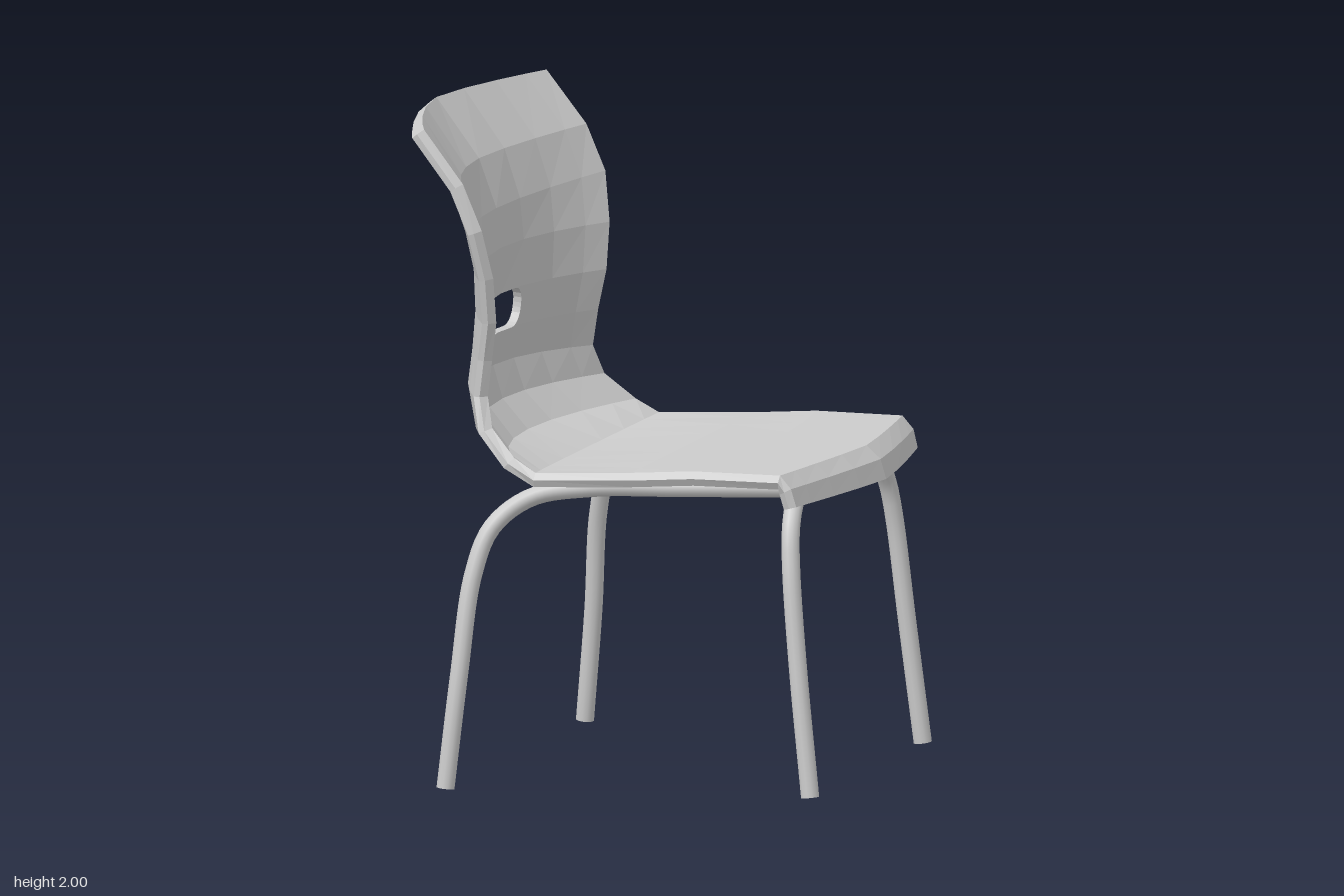
import * as THREE from 'three';

const grey = new THREE.MeshStandardMaterial({ color: 0xcccccc });
const shellGrey = new THREE.MeshStandardMaterial({ color: 0xcccccc, flatShading: true, side: THREE.DoubleSide });

// Shell sections from backrest top to front lip:
// centre x, y, side x, y, half width, curve exponent
const ROWS = [
  [-0.71, 2.0, -0.555, 2.0, 0.605, 1.5],
  [-0.575, 1.82, -0.43, 1.84, 0.61, 1.7],
  [-0.52, 1.67, -0.37, 1.7, 0.61, 2],
  [-0.505, 1.55, -0.345, 1.55, 0.575, 2],
  [-0.505, 1.41, -0.345, 1.41, 0.545, 2],
  [-0.515, 1.29, -0.365, 1.29, 0.525, 2],
  [-0.53, 1.19, -0.38, 1.18, 0.52, 2],
  [-0.5, 1.09, -0.355, 1.09, 0.555, 2],
  [-0.42, 1.0, -0.27, 1.01, 0.6, 2],
  [-0.25, 0.945, -0.2, 0.97, 0.61, 2],
  [0.1, 0.985, 0.1, 0.985, 0.61, 2],
  [0.35, 1.0, 0.3, 1.0, 0.61, 2],
  [0.655, 1.005, 0.575, 1.0, 0.605, 1.2],
  [0.7, 0.965, 0.61, 0.96, 0.605, 1.2],
  [0.718, 0.905, 0.625, 0.905, 0.6, 1.2],
];
const COLS = [-1, -0.84, -0.6, -0.31, 0, 0.31, 0.6, 0.84, 1];
const SLOT_ROW = 4, SLOT_U = 0.31, BEVEL = 0.012;

// Point of one section, straight between columns
function rowPoint(row, u) {
  const [xc, yc, xe, ye, w, e] = row;
  let j = 0;
  while (j < COLS.length - 2 && u > COLS[j + 1]) j++;
  const f = (u - COLS[j]) / (COLS[j + 1] - COLS[j]);
  const d = THREE.MathUtils.lerp(Math.abs(COLS[j]) ** e, Math.abs(COLS[j + 1]) ** e, f);
  return new THREE.Vector3(xc + (xe - xc) * d, yc + (ye - yc) * d, u * (w - BEVEL));
}

// Sitting side of the shell at (u across, v along)
function front(u, v) {
  const i = Math.min(Math.max(Math.floor(v), 0), ROWS.length - 2);
  return rowPoint(ROWS[i], u).lerp(rowPoint(ROWS[i + 1], u), v - i);
}

// Rear side, offset along the local normal, thicker at the sides
function back(u, v) {
  const last = ROWS.length - 1;
  const tu = front(Math.min(u + 0.1, 1), v).sub(front(Math.max(u - 0.1, -1), v));
  const tv = front(u, Math.min(v + 0.5, last)).sub(front(u, Math.max(v - 0.5, 0)));
  const n = tu.cross(tv).normalize();
  return front(u, v).addScaledVector(n, -(0.026 + 0.018 * u * u));
}

function shell() {
  const pos = [];
  const tri = (...pts) => pts.forEach(p => pos.push(p.x, p.y, p.z));
  const quad = (a, b, c, d) => { tri(a, b, c); tri(a, c, d); };
  const last = ROWS.length - 1;

  // Both faces, leaving out the hand slot
  for (let i = 0; i < last; i++) {
    for (let j = 0; j < COLS.length - 1; j++) {
      const a = COLS[j], b = COLS[j + 1];
      if (i === SLOT_ROW && a >= -SLOT_U && b <= SLOT_U) continue;
      quad(front(a, i), front(b, i), front(b, i + 1), front(a, i + 1));
      quad(back(a, i), back(a, i + 1), back(b, i + 1), back(b, i));
    }
    // Bevelled side rims
    for (const s of [-1, 1]) {
      const mid = v => {
        const m = front(s, v).lerp(back(s, v), 0.5);
        m.z += s * BEVEL;
        return m;
      };
      for (const face of [front, back]) {
        const p = [face(s, i), mid(i), mid(i + 1), face(s, i + 1)];
        if ((s > 0) !== (face === front)) p.reverse();
        quad(...p);
      }
    }
  }
  // Top and lip rims
  for (let j = 0; j < COLS.length - 1; j++) {
    const a = COLS[j], b = COLS[j + 1];
    quad(front(a, 0), back(a, 0), back(b, 0), front(b, 0));
    quad(front(a, last), front(b, last), back(b, last), back(a, last));
  }

  // Rounded slot: fill each corner, then line the opening
  const outline = [], ru = 0.1, rv = 0.44, steps = 5;
  const corners = [[1, 1, 0], [-1, 1, 1], [-1, 0, 2], [1, 0, 3]];
  for (const [su, ev, q] of corners) {
    const cu = su * (SLOT_U - ru), cv = SLOT_ROW + (ev ? 1 - rv : rv);
    const arc = [];
    for (let k = 0; k <= steps; k++) {
      const t = (q + k / steps) * Math.PI / 2;
      arc.push([cu + ru * Math.cos(t), cv + rv * Math.sin(t)]);
    }
    for (let k = 0; k < steps; k++) {
      const c = [su * SLOT_U, SLOT_ROW + ev];
      tri(front(...c), front(...arc[k + 1]), front(...arc[k]));
      tri(back(...c), back(...arc[k]), back(...arc[k + 1]));
    }
    outline.push(...arc);
    if (q === 1) outline.push([0 - SLOT_U, SLOT_ROW + 0.5]);
  }
  // Middle points keep the lining on the curved surface
  const ring = [];
  outline.forEach((p, k) => {
    const next = outline[(k + 1) % outline.length];
    ring.push(p);
    if (p[0] * next[0] < 0) ring.push([0, p[1]]);
  });
  ring.forEach((p, k) => {
    const n = ring[(k + 1) % ring.length];
    quad(front(...p), front(...n), back(...n), back(...p));
  });

  const geo = new THREE.BufferGeometry();
  geo.setAttribute('position', new THREE.Float32BufferAttribute(pos, 3));
  geo.computeVertexNormals();
  const mesh = new THREE.Mesh(geo, shellGrey);
  mesh.name = 'seatShell';
  return mesh;
}

// Bent steel tube with closed ends
function tube(name, points) {
  const g = new THREE.Group();
  g.name = name;
  const curve = new THREE.CatmullRomCurve3(points.map(p => new THREE.Vector3(...p)));
  g.add(new THREE.Mesh(new THREE.TubeGeometry(curve, 64, 0.028, 12), grey));
  for (const end of [0, 1]) {
    const cap = new THREE.Mesh(new THREE.CircleGeometry(0.028, 12), grey);
    const p = curve.getPoint(end);
    cap.position.copy(p);
    cap.lookAt(p.clone().addScaledVector(curve.getTangent(end), end ? 1 : -1));
    g.add(cap);
  }
  return g;
}

export function createModel() {
  const chair = new THREE.Group();
  chair.name = 'chair';
  chair.add(shell());

  // Front legs and crossbar in one bent tube
  const half = [
    [0.655, 0.013, 0.545], [0.61, 0.4, 0.525], [0.58, 0.7, 0.5],
    [0.568, 0.82, 0.465], [0.56, 0.9, 0.39], [0.56, 0.925, 0.26],
  ];
  const mirrored = half.map(([x, y, z]) => [x, y, -z]).reverse();
  chair.add(tube('frontLegs', [...half, ...mirrored]));

  // Rear legs running forward as seat rails
  const rear = [
    [-0.46, 0.005, 0.675], [-0.425, 0.35, 0.65], [-0.395, 0.65, 0.605], [-0.35, 0.79, 0.56],
    [-0.25, 0.875, 0.49], [-0.08, 0.905, 0.44], [0.2, 0.915, 0.41], [0.56, 0.925, 0.37],
  ];
  for (const s of [1, -1]) {
    chair.add(tube(s > 0 ? 'rearLegLeft' : 'rearLegRight', rear.map(([x, y, z]) => [x, y, s * z])));
  }
  return chair;
}
